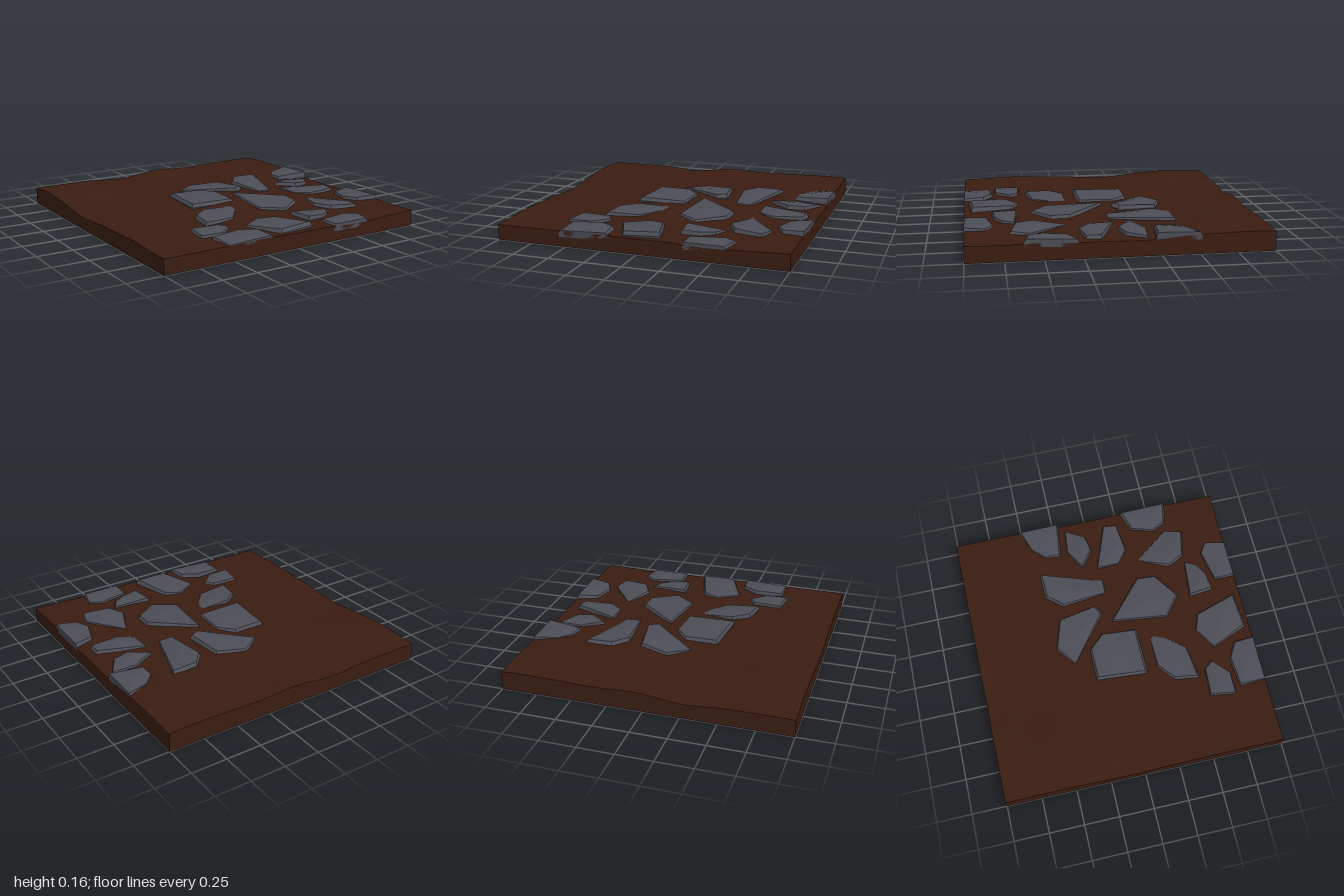
import * as THREE from 'three';

// Stone outlines: four x,z corners each, clockwise from above; the first corner gets chipped off
const CORNERS = 4;
const OUTLINES = [
  .30, .03, -.14, -.32, .02, -.43, .24, -.36,
  .07, -.19, .04, .18, -.31, .18, -.28, -.19,
  .33, -.42, .63, -.43, .48, .04, .37, .04,
  .75, -.42, 1, -.51, 1, -.21, .75, -.24,
  .82, .05, .61, -.10, .77, -.19, .96, -.17,
  .58, .27, .58, 0, .93, .13, .92, .23,
  .52, .35, .24, .55, .08, .43, .13, 0,
  .44, .64, .58, .30, .79, .58, .75, .71,
  .77, .58, .85, .33, 1, .28, 1, .63,
  -.38, .26, .03, .25, -.17, .51, -.42, .54,
  -.25, .60, -.43, .77, -.60, .77, -.57, .58,
  .03, .54, .15, .95, -.11, .97, -.23, .70,
  .43, .79, .23, .81, .21, .63, .50, .66,
  -.22, .78, -.20, 1, -.55, 1, -.55, .81,
  .65, .78, .59, 1, .30, 1, .30, .85,
];

// Ground height: uneven ripples, a slight rise to the back, low mounds and hollows
function groundY(x, z) {
  const mound = (cx, cz, height, tight) => height * Math.exp(-tight * ((x - cx) ** 2 + (z - cz) ** 2));
  return .113 - .008 * z + .005 * Math.sin(5 * x + 2 * z) + .005 * Math.cos(4 * z - 3 * x)
    + .004 * Math.sin(11 * x - 4 * z) * Math.cos(9 * z + 2 * x)
    + mound(-.1, 0, .018, 8) + mound(.8, -.6, .025, 9) + mound(-.8, -.6, .022, 14)
    + mound(.05, -1, .022, 14) + mound(-1, -.15, -.022, 9) + mound(-.3, -1, -.015, 20);
}

// Corner points of one stone, with the first corner replaced by a short chipped edge
function stoneOutline(index) {
  const c = Array.from({ length: CORNERS }, (_, i) => new THREE.Vector2().fromArray(OUTLINES, 2 * (index * CORNERS + i)));
  const chip = to => c[0].clone().lerp(to, Math.min(.35, .11 / c[0].distanceTo(to)));
  return [chip(c[3]), chip(c[1]), c[1], c[2], c[3]];
}

// Bevelled stone shell, open below: three rings (foot, shoulder, top) under a low crown
function stoneGeometry(index) {
  const outline = stoneOutline(index), n = outline.length;
  const centre = outline.reduce((sum, p) => sum.add(p), new THREE.Vector2()).divideScalar(n);
  const top = groundY(centre.x, centre.y) + .025;
  const tiltX = .05 * Math.sin(index * 2.4 + 1), tiltZ = .05 * Math.cos(index * 1.7);
  // Points on the tile border stay on it so the cut stones end flush
  const shrink = (value, mid, scale) => value === 1 ? 1 : mid + (value - mid) * scale;
  const ring = (scale, drop, tilt) => outline.map(p => {
    const x = shrink(p.x, centre.x, scale), z = shrink(p.y, centre.y, scale);
    return [x, top - drop + tilt * (tiltX * (x - centre.x) + tiltZ * (z - centre.y)), z];
  });
  const low = ring(.99, .055, .8), mid = ring(1, .028, 1), high = ring(.92, .005, 1.2);
  const crown = [centre.x - .02, top + .006, centre.y + .02];
  const points = [];
  for (let i = 0; i < n; i++) {
    const k = (i + 1) % n;
    points.push(crown, high[k], high[i]);
    for (const [d, u] of [[low, mid], [mid, high]]) points.push(d[k], d[i], u[i], d[k], u[i], u[k]);
  }
  const geometry = new THREE.BufferGeometry();
  geometry.setAttribute('position', new THREE.Float32BufferAttribute(points.flat(), 3));
  geometry.computeVertexNormals();
  return geometry;
}

export function createModel() {
  const model = new THREE.Group();
  model.name = 'stonyGroundTile';
  const soil = new THREE.MeshStandardMaterial({ color: 0x3b1d12, side: THREE.DoubleSide });
  const rock = new THREE.MeshStandardMaterial({ color: 0x4c4d56, flatShading: true });

  // Gently rolling soil surface
  const surface = new THREE.PlaneGeometry(2, 2, 36, 36).rotateX(-Math.PI / 2);
  const sp = surface.attributes.position;
  for (let i = 0; i < sp.count; i++) sp.setY(i, groundY(sp.getX(i), sp.getZ(i)));
  surface.computeVertexNormals();
  const ground = new THREE.Mesh(surface, soil);
  ground.name = 'soilSurface';
  model.add(ground);

  // Four side walls that follow the surface; the underside stays open
  ['front', 'left', 'back', 'right'].forEach((side, s) => {
    const wall = new THREE.PlaneGeometry(2, 1, 36, 1).translate(0, .5, 1).rotateY(s * Math.PI / 2);
    const p = wall.attributes.position;
    for (let i = 0; i < p.count; i++) if (p.getY(i) > .5) p.setY(i, groundY(p.getX(i), p.getZ(i)));
    const mesh = new THREE.Mesh(wall, soil);
    mesh.name = side + 'Wall';
    model.add(mesh);
  });

  // Half-buried paving stones
  const paving = new THREE.Group();
  paving.name = 'pavingStones';
  for (let i = 0; i < OUTLINES.length / (2 * CORNERS); i++) {
    const mesh = new THREE.Mesh(stoneGeometry(i), rock);
    mesh.name = 'stone' + (i + 1);
    paving.add(mesh);
  }
  model.add(paving);
  return model;
}
